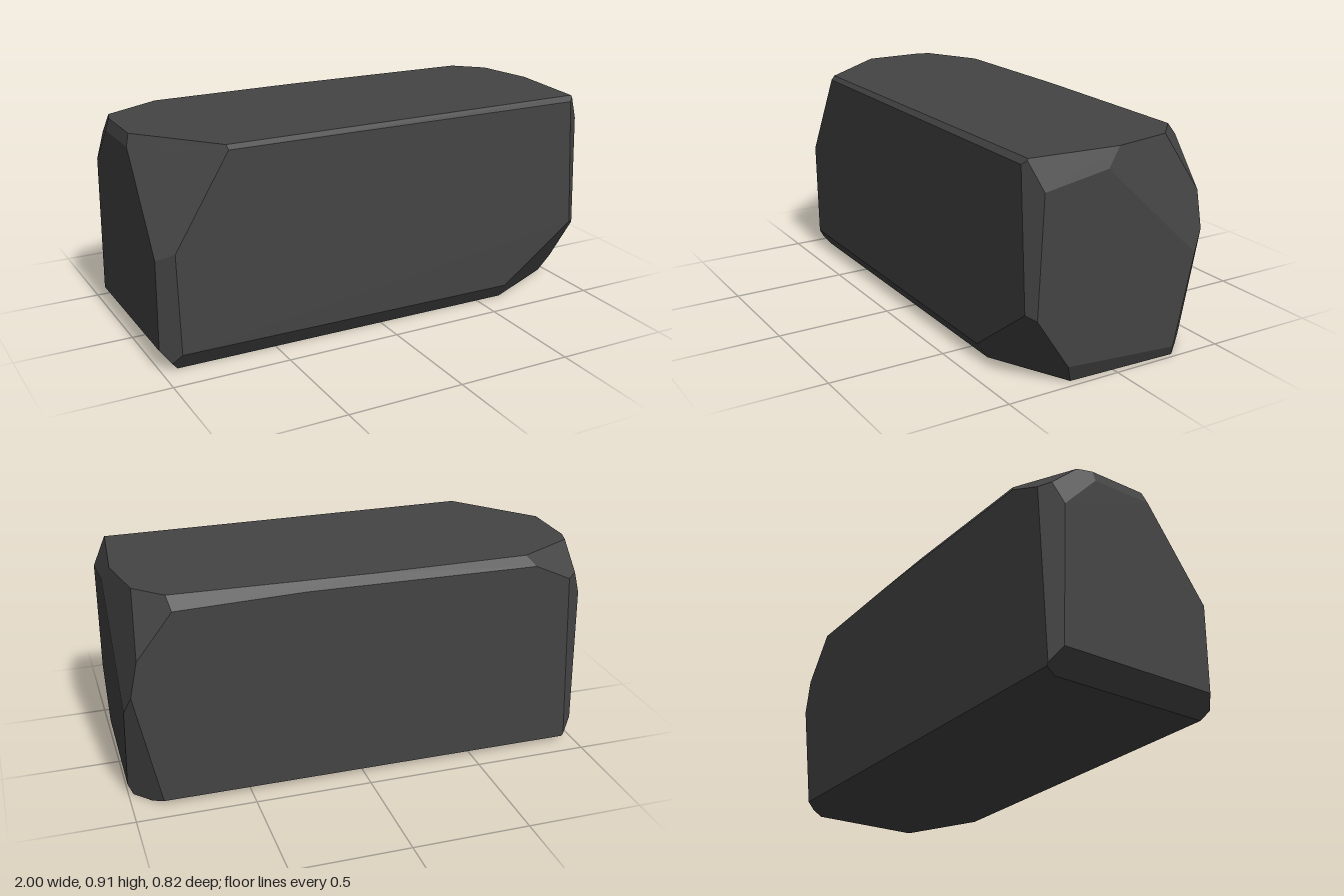
import * as THREE from 'three';
import { ConvexGeometry } from 'three/addons/geometries/ConvexGeometry.js';

const X = 1, Y = 0.91, Z = 0.41;
const v = (p) => new THREE.Vector3(...p);
const CENTRE = new THREE.Vector3(0, 0.45, 0);

// Each cut is a plane through three points, turned to face away from the centre.
function cut(a, b, c) {
  const plane = new THREE.Plane().setFromCoplanarPoints(v(a), v(b), v(c));
  return plane.distanceToPoint(CENTRE) > 0 ? plane.negate() : plane;
}

// Corners of the solid left inside all planes.
function cornersOf(planes) {
  const corners = new Map();
  const n = planes.length;
  const m = new THREE.Matrix3();
  for (let i = 0; i < n; i++) for (let j = i + 1; j < n; j++) for (let k = j + 1; k < n; k++) {
    const [a, b, c] = [planes[i], planes[j], planes[k]];
    m.set(...a.normal.toArray(), ...b.normal.toArray(), ...c.normal.toArray());
    if (Math.abs(m.determinant()) < 1e-5) continue;
    const p = new THREE.Vector3(-a.constant, -b.constant, -c.constant).applyMatrix3(m.invert());
    if (planes.every((q) => q.distanceToPoint(p) < 1e-5)) {
      corners.set(p.toArray().map((t) => Math.round(t * 1e4)).join(), p);
    }
  }
  return [...corners.values()];
}

export function createModel() {
  const sides = [
    cut([X, 0, 0], [X, 1, 0], [X, 0, 1]),
    cut([-X, 0, 0], [-X, 1, 0], [-X, 0, 1]),
    cut([0, Y, 0], [1, Y, 0], [0, Y, 1]),
    cut([0, 0, 0], [1, 0, 0], [0, 0, 1]),
    cut([0, 0, Z], [1, 0, Z], [0, 1, Z]),
    cut([0, 0, -Z], [1, 0, -Z], [0, 1, -Z]),
  ];

  // Worn long edges
  const longEdges = [
    cut([-0.9, 0.08, Z], [0.55, 0.07, Z], [0, 0, 0.36]),
    cut([-0.9, Y, 0.395], [0.9, Y, 0.39], [0, 0.89, Z]),
    cut([-0.8, Y, -0.38], [0.1, Y, -0.385], [-0.3, 0.87, -Z]),
    cut([0.1, Y, -0.38], [0.8, Y, -0.36], [0.4, 0.87, -Z]),
    cut([-0.9, 0.02, -Z], [0.9, 0.02, -Z], [0, 0, -0.36]),
  ];

  // Worn edges around the two ends
  const endEdges = [
    cut([-X, 0.09, 0], [-0.93, 0, 0.3], [-0.93, 0, -0.3]),
    cut([X, 0.05, -0.2], [X, 0.08, 0.2], [0.97, 0, 0]),
    cut([-X, 0.1, 0.35], [-X, 0.6, 0.36], [-0.93, 0.3, Z]),
    cut([-X, 0.1, -0.37], [-X, 0.6, -0.35], [-0.94, 0.3, -Z]),
    cut([X, 0.3, 0.38], [X, 0.7, 0.36], [0.95, 0.5, Z]),
    cut([-0.985, Y, 0], [-X, 0.86, -0.2], [-X, 0.86, 0.2]),
  ];

  // Large chips broken off the corners
  const chips = [
    cut([0.55, 0.02, Z], [0.97, 0.31, 0.4], [0.99, 0.02, 0.2]),     // front left foot
    cut([-X, Y, 0.05], [-0.7, Y, 0.4], [-0.97, 0.45, Z]),           // front right top
    cut([0.75, Y, -Z], [0.92, Y, -0.25], [0.99, 0.6, -Z]),          // back left top
    cut([0.92, Y, -0.25], [0.97, Y, 0], [X, 0.58, -0.2]),
    cut([0.98, 0.02, -0.29], [0.87, 0.02, -Z], [X, 0.6, -0.4]),     // back left foot
    cut([0.94, Y, 0.4], [X, 0.79, 0.37], [0.97, Y, 0.02]),          // front left top
    cut([-X, Y, -0.14], [-0.92, Y, -0.4], [-X, 0.66, -0.38]),       // back right top
    cut([-0.93, Y, -0.27], [-0.7, Y, -0.39], [-0.92, 0.79, -Z]),
  ];

  const planes = [...sides, ...longEdges, ...endEdges, ...chips];
  const block = new THREE.Mesh(
    new ConvexGeometry(cornersOf(planes)),
    new THREE.MeshStandardMaterial({ color: 0x444444, flatShading: true }),
  );
  block.name = 'stoneBlock';

  const model = new THREE.Group();
  model.name = 'chippedStone';
  model.add(block);
  return model;
}
